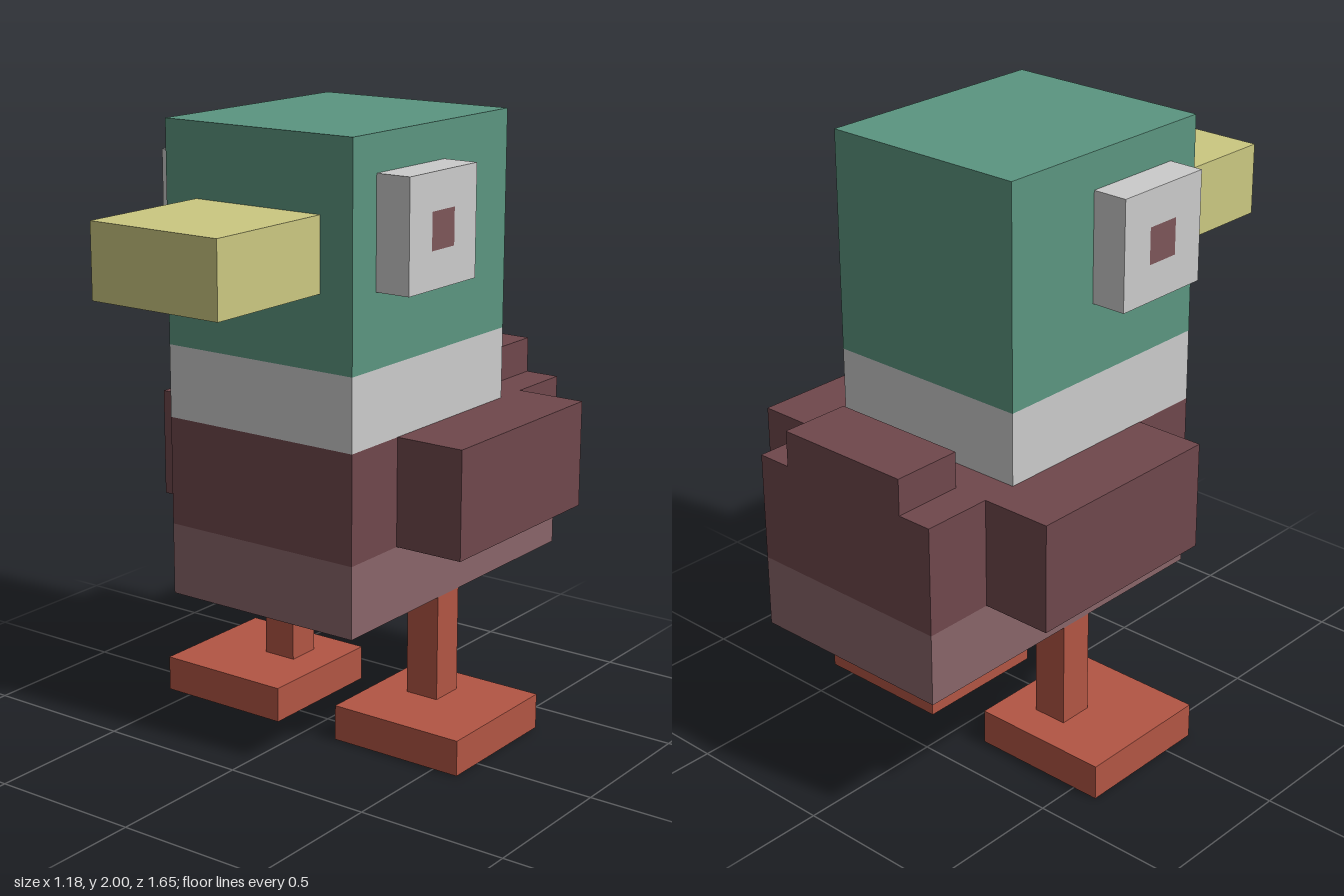
import * as THREE from 'three';
import { mergeGeometries } from 'three/addons/utils/BufferGeometryUtils.js';

const U = 2 / 17; // one block
const AXES = 'xyz';
const COLORS = {
  head: 0x5b9580, white: 0xcccccc, beak: 0xcbc881,
  plumage: 0x6f474c, belly: 0x896569, leg: 0xb25544, pupil: 0x7d5659,
};
const ALL = ['+x', '-x', '+y', '+z', '-z']; // shells are open underneath

// Flat wall on one side of a box, with an optional rectangular opening (also given as a box)
function wall(box, side, hole) {
  const a = AXES.indexOf(side[1]), u = (a + 1) % 3, v = (a + 2) % 3;
  const corners = b => [[b[u][0], b[v][0]], [b[u][1], b[v][0]], [b[u][1], b[v][1]], [b[u][0], b[v][1]]]
    .map(([p, q]) => new THREE.Vector2(p, q));
  const shape = new THREE.Shape(corners(box));
  if (hole) shape.holes.push(new THREE.Path(corners(hole).reverse()));
  const geo = new THREE.ShapeGeometry(shape);
  const pos = geo.attributes.position;
  const outward = side[0] === '+';
  for (let i = 0; i < pos.count; i++) {
    const p = [];
    p[a] = box[a][outward ? 1 : 0];
    p[u] = pos.getX(i);
    p[v] = pos.getY(i);
    pos.setXYZ(i, p[0] * U, p[1] * U, p[2] * U);
  }
  if (!outward) geo.index.array.reverse();
  geo.computeVertexNormals();
  return geo;
}

export function createModel() {
  const model = new THREE.Group();
  model.name = 'blockDuck';
  const materials = {};
  for (const key in COLORS) {
    materials[key] = new THREE.MeshStandardMaterial({
      color: COLORS[key], flatShading: true, side: THREE.DoubleSide,
    });
  }
  const add = (name, color, walls) => {
    const mesh = new THREE.Mesh(mergeGeometries(walls), materials[color]);
    mesh.name = name;
    model.add(mesh);
  };
  const shell = (name, color, box, sides, holes = {}) =>
    add(name, color, sides.map(s => wall(box, s, holes[s])));

  // Boxes as [x range, y range, z range] in blocks
  const eyeBox = s => [s > 0 ? [3, 4] : [-4, -3], [13, 16], [-1, 2]];
  const beakBox = [[-2, 2], [13, 15], [3, 7]];

  // Head opens into the beak and eyes; neck is a plain band
  shell('head', 'head', [[-3, 3], [11, 17], [-4, 3]], ALL,
    { '+z': beakBox, '+x': eyeBox(1), '-x': eyeBox(-1) });
  shell('beak', 'beak', beakBox, ['+x', '-x', '+y', '+z']);
  const ring = ['+x', '-x', '+z', '-z'];
  shell('neck', 'white', [[-3, 3], [9, 11], [-4, 3]], ring);

  // Body: belly band, then the upper body with gaps at the wings and tail
  shell('belly', 'belly', [[-3, 3], [4, 6], [-7, 3]], ring);
  const h = [6, 9];
  add('upperBody', 'plumage', [
    wall([[-3, 3], h, [-7, 3]], '+z'),
    wall([[-3, 3], h, [-7, 3]], '-z'),
    wall([[-3, 3], h, [-5, -4]], '+y'),
    ...['+x', '-x'].flatMap(s => [[-7, -5], [1, 3]].map(z => wall([[-3, 3], h, z], s))),
    ...[[-3, -2], [2, 3]].map(x => wall([x, h, [-7, -5]], '+y')),
  ]);
  shell('tail', 'plumage', [[-2, 2], [9, 10], [-7, -5]], ALL);

  // Paired parts
  for (const s of [1, -1]) {
    const label = s > 0 ? 'left' : 'right';
    const out = s > 0 ? '+x' : '-x';
    const span = (a, b) => (s > 0 ? [a, b] : [-b, -a]);
    const outer = [out, '+y', '+z', '-z'];

    const pupil = [span(3, 4), [14, 15], [0, 1]];
    shell(label + 'Eye', 'white', eyeBox(s), outer, { [out]: pupil });
    shell(label + 'Pupil', 'pupil', pupil, [out]);

    shell(label + 'Wing', 'plumage', [span(3, 5), h, [-5, 1]], outer);

    const leg = [span(2, 3), [1, 4], [-2, -1]];
    shell(label + 'Leg', 'leg', leg, ring);
    shell(label + 'Foot', 'leg', [span(1, 5), [0, 1], [-3, 1]], ALL, { '+y': leg });
  }
  return model;
}
